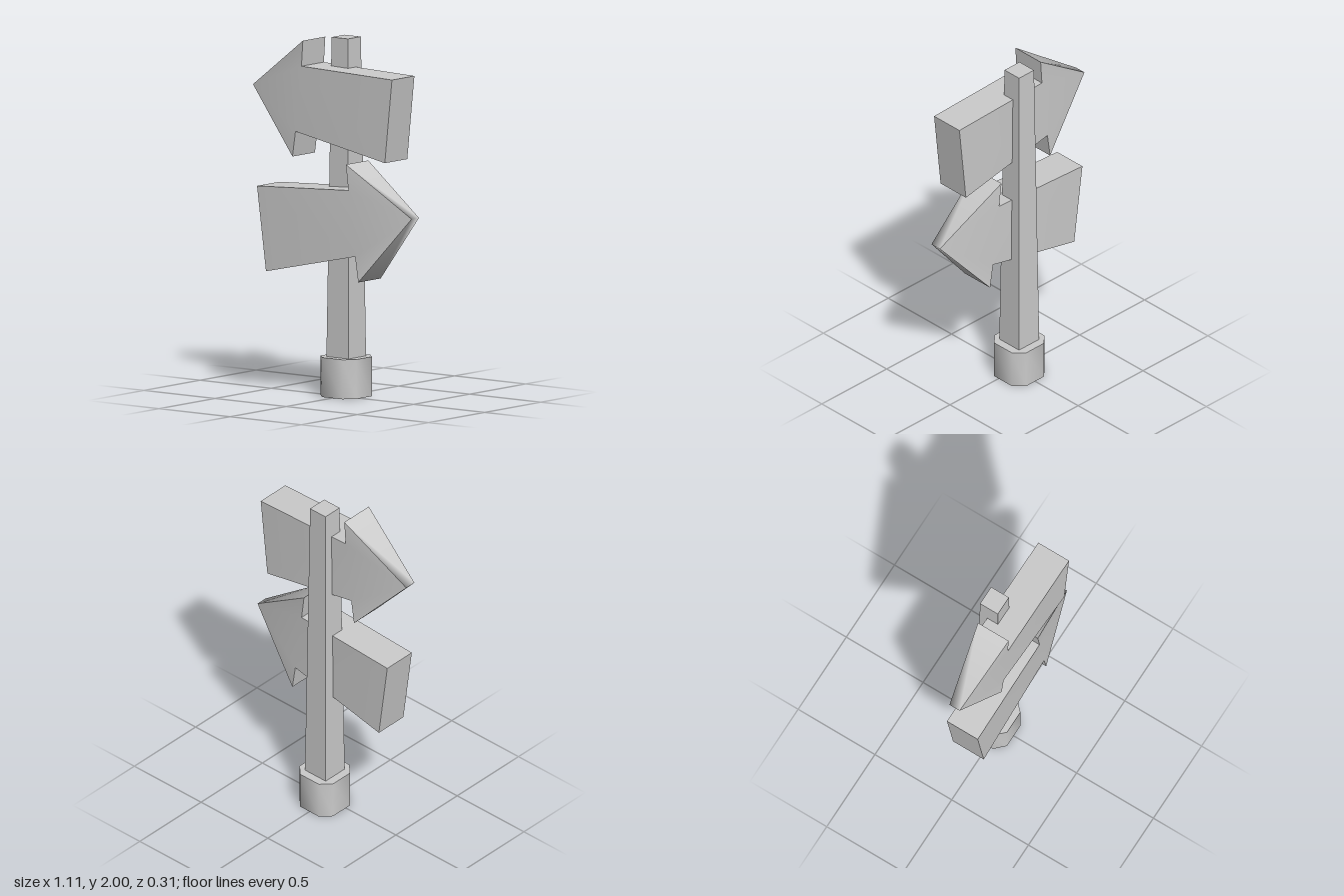
import * as THREE from 'three';
import { toCreasedNormals } from 'three/addons/utils/BufferGeometryUtils.js';

const material = new THREE.MeshStandardMaterial({ color: 0xcccccc });
const POST_Z = -0.035;   // post and base axis
const BOARD_Z = 0.055;   // middle of the arrow boards

function part(name, geometry) {
  const mesh = new THREE.Mesh(geometry, material);
  mesh.name = name;
  return mesh;
}

// Arrow board. Outline runs clockwise seen from the front:
// tail, notch, barb, tip, barb, notch, tail. The board thins towards the tip.
function arrowGeometry(outline) {
  const positions = [], indices = [];
  const corner = (i, side) => {
    const half = i === 3 ? 0.033 : 0.1;
    return [...outline[i], BOARD_Z + side * half];
  };
  // Each patch has its own vertices, so shading is smooth only within it
  const addPatch = (corners, triangles) => {
    const base = positions.length / 3;
    corners.forEach((c) => positions.push(...c));
    triangles.forEach((t) => indices.push(...t.map((i) => base + i)));
  };

  // Front and back faces
  const face = [[0, 6, 5], [0, 5, 1], [1, 3, 2], [5, 3, 1], [4, 3, 5]];
  addPatch(outline.map((_, i) => corner(i, 1)), face);
  addPatch(outline.map((_, i) => corner(i, -1)), face.map(([a, b, c]) => [a, c, b]));

  // Rim, one strip per run of outline points; the strip round the tip is smooth
  for (const run of [[0, 1], [1, 2], [2, 3, 4], [4, 5], [5, 6], [6, 0]]) {
    const corners = run.flatMap((i) => [corner(i, 1), corner(i, -1)]);
    const triangles = [];
    for (let k = 0; k < run.length - 1; k++) {
      const f = 2 * k;
      triangles.push([f, f + 2, f + 3], [f, f + 3, f + 1]);
    }
    addPatch(corners, triangles);
  }

  const geometry = new THREE.BufferGeometry();
  geometry.setAttribute('position', new THREE.Float32BufferAttribute(positions, 3));
  geometry.setIndex(indices);
  geometry.computeVertexNormals();
  return geometry;
}

// Square block with cut corners
function baseGeometry() {
  const r = 0.125, c = 0.07, height = 0.22;
  const shape = new THREE.Shape([
    [r, -c], [r, c], [c, r], [-c, r], [-r, c], [-r, -c], [-c, -r], [c, -r],
  ].map(([x, y]) => new THREE.Vector2(x, y)));
  const geometry = new THREE.ExtrudeGeometry(shape, { depth: height, bevelEnabled: false });
  geometry.rotateX(-Math.PI / 2);
  return toCreasedNormals(geometry, Math.PI / 3);
}

// Square post, slightly narrower at the top
function postGeometry() {
  const bottom = 0.2, top = 2;
  const geometry = new THREE.BoxGeometry(1, top - bottom, 1);
  geometry.translate(0, (top + bottom) / 2, 0);
  const p = geometry.attributes.position;
  for (let i = 0; i < p.count; i++) {
    const width = p.getY(i) > 1 ? 0.115 : 0.156;
    p.setXYZ(i, p.getX(i) * width, p.getY(i), p.getZ(i) * width);
  }
  geometry.computeVertexNormals();
  return geometry;
}

export function createModel() {
  const model = new THREE.Group();
  model.name = 'signpost';

  const base = part('base', baseGeometry());
  const post = part('post', postGeometry());
  base.position.z = post.position.z = POST_Z;

  const lowerArrow = part('lowerArrow', arrowGeometry([
    [-0.477, 1.148], [0.165, 1.18], [0.147, 1.323], [0.556, 1.047],
    [0.234, 0.673], [0.212, 0.815], [-0.414, 0.678],
  ]));
  const upperArrow = part('upperArrow', arrowGeometry([
    [0.421, 1.355], [-0.207, 1.476], [-0.228, 1.334], [-0.558, 1.7],
    [-0.155, 1.986], [-0.165, 1.843], [0.471, 1.823],
  ]));

  model.add(base, post, lowerArrow, upperArrow);
  return model;
}
